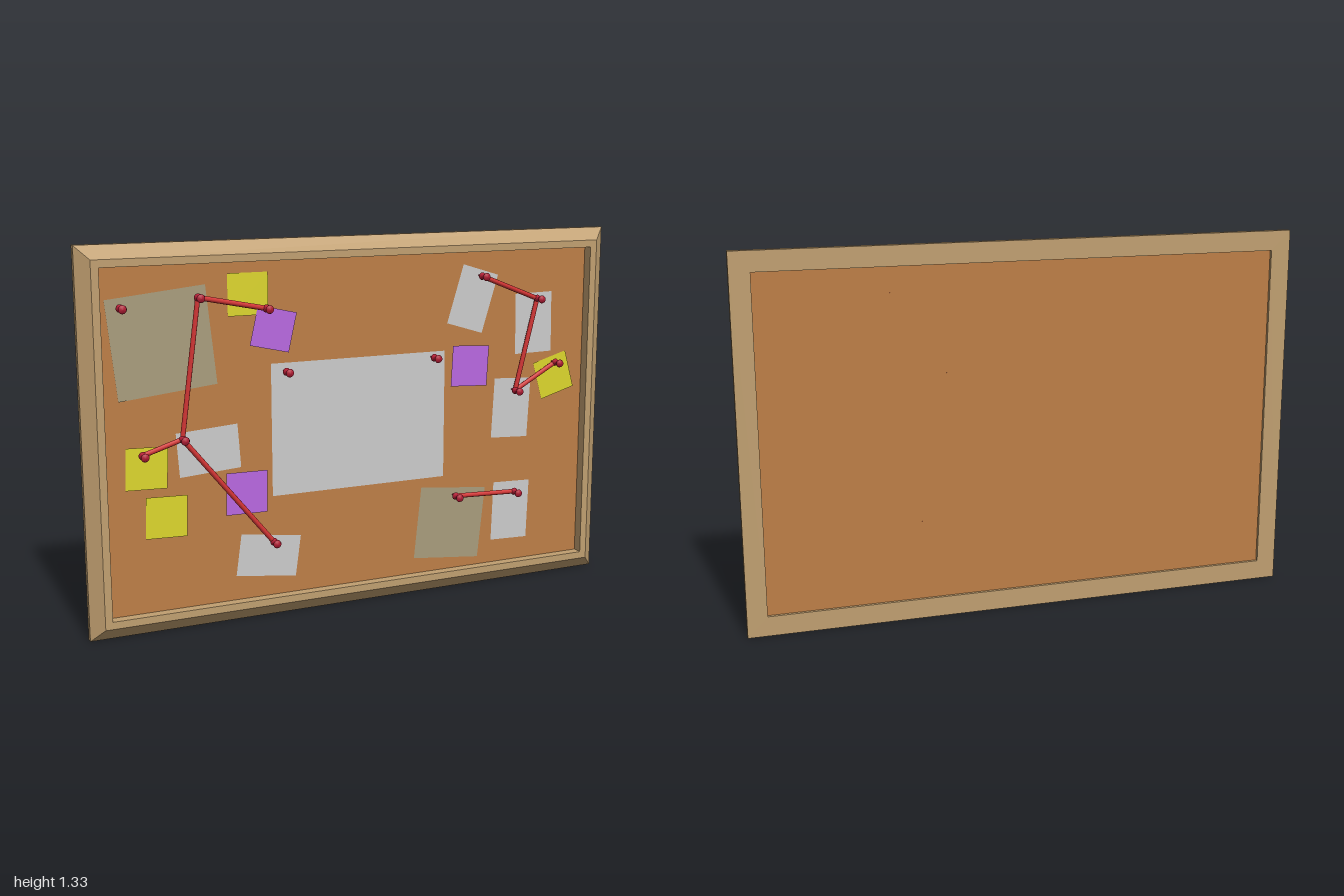
import * as THREE from 'three';

const W = 1, H = 0.665; // half width and half height of the board
const PAPER_Z = -0.02, STRING_Z = 0.004;

const mat = (color, side = THREE.FrontSide) =>
  new THREE.MeshStandardMaterial({ color, side });

function add(parent, name, geometry, material, x = 0, y = 0, z = 0) {
  const mesh = new THREE.Mesh(geometry, material);
  mesh.name = name;
  mesh.position.set(x, y, z);
  parent.add(mesh);
  return mesh;
}

// Mitred frame: a closed [inset, z] profile swept round a rectangle, flat faces
function frameGeometry(profile) {
  const corners = [[-1, -1], [1, -1], [1, 1], [-1, 1]];
  const point = (k, j) => {
    const [inset, z] = profile[k % profile.length];
    const [sx, sy] = corners[j % 4];
    return [sx * (W - inset), sy * (H - inset), z];
  };
  const pos = [];
  for (let k = 0; k < profile.length; k++) {
    for (let j = 0; j < 4; j++) {
      const a = point(k, j), b = point(k, j + 1), c = point(k + 1, j + 1), d = point(k + 1, j);
      pos.push(...a, ...b, ...c, ...a, ...c, ...d);
    }
  }
  const g = new THREE.BufferGeometry();
  g.setAttribute('position', new THREE.Float32BufferAttribute(pos, 3));
  g.computeVertexNormals();
  return g;
}

// Push pin turned about z: needle, collar, neck and head
function pinGeometry() {
  const profile = [
    [0, -0.037], [0.003, -0.03], [0.003, 0], [0.011, 0], [0.014, 0.006], [0.012, 0.012],
    [0.007, 0.017], [0.007, 0.029], [0.012, 0.032], [0.015, 0.038], [0.012, 0.045], [0, 0.047],
  ].map(([r, h]) => new THREE.Vector2(r, h));
  return new THREE.LatheGeometry(profile, 14).rotateX(Math.PI / 2);
}

export function createModel() {
  const model = new THREE.Group();
  model.name = 'pinBoard';
  const board = new THREE.Group(); // everything below is centred on the board
  board.name = 'board';
  board.position.y = H;
  model.add(board);

  // Frame and cork panel
  add(board, 'frame', frameGeometry([
    [0, -0.047], [0, -0.023], [0.045, 0.015], [0.071, 0.015], [0.071, -0.047],
  ]), mat(0xc09f70));
  add(board, 'corkPanel', new THREE.BoxGeometry(2 * W - 0.14, 2 * H - 0.14, 0.013),
    mat(0xbd7e46), 0, 0, -0.0295);

  // Papers and sticky notes: x, y, width, height, tilt in degrees
  const sheets = {
    paper: [0xcccccc, [
      [0, 0.668, 0.674, 0.47, 0], [-0.567, 0.62, 0.22, 0.155, 4],
      [-0.355, 0.219, 0.225, 0.15, -8], [0.626, 0.27, 0.155, 0.225, -2],
      [0.62, 0.668, 0.155, 0.225, -3], [0.709, 0.984, 0.155, 0.225, 1],
      [0.449, 1.086, 0.15, 0.22, -17]]],
    photo: [0xa89c7c, [[-0.72, 1, 0.344, 0.34, 6], [0.366, 0.251, 0.27, 0.27, -6]]],
    yellowNote: [0xdcd62c, [
      [-0.417, 1.147, 0.145, 0.145, 0], [-0.786, 0.58, 0.145, 0.145, -2],
      [-0.722, 0.404, 0.145, 0.145, -2], [0.802, 0.78, 0.145, 0.145, 16]]],
    purpleNote: [0xb868e0, [
      [-0.327, 1.023, 0.145, 0.14, -13], [-0.433, 0.457, 0.15, 0.15, -1],
      [0.441, 0.84, 0.15, 0.15, -3]]],
  };
  let layer = 0;
  for (const [name, [color, list]] of Object.entries(sheets)) {
    const material = mat(color, THREE.DoubleSide);
    for (const [x, y, w, h, tilt] of list) {
      const z = PAPER_Z + 0.0002 * layer++;
      const sheet = add(board, name, new THREE.PlaneGeometry(w, h), material, x, y - H, z);
      sheet.rotation.z = THREE.MathUtils.degToRad(tilt);
    }
  }

  // Push pins
  const pins = [
    [-0.863, 1.125], [-0.6, 1.147], [-0.36, 1.098], [-0.29, 0.876], [0.281, 0.885],
    [0.473, 1.17], [0.708, 1.077], [0.794, 0.832], [0.623, 0.738], [-0.666, 0.674],
    [-0.805, 0.631], [-0.345, 0.275], [0.377, 0.358], [0.628, 0.348],
  ];
  const pinGeo = pinGeometry(), pinMat = mat(0xb01c34);
  for (const [x, y] of pins) add(board, 'pushPin', pinGeo, pinMat, x, y - H, 0);

  // Strings stretched between pairs of pins
  const stringMat = mat(0xd23434);
  for (const [a, b] of [[2, 1], [1, 9], [9, 10], [9, 11], [5, 6], [6, 8], [8, 7], [12, 13]]) {
    const [p, q] = [pins[a], pins[b]].map(([x, y]) => new THREE.Vector3(x, y - H, STRING_Z));
    const geo = new THREE.CylinderGeometry(0.009, 0.009, p.distanceTo(q), 8);
    const string = add(board, 'string', geo, stringMat);
    string.position.lerpVectors(p, q, 0.5);
    string.quaternion.setFromUnitVectors(new THREE.Vector3(0, 1, 0), q.clone().sub(p).normalize());
  }
  return model;
}
